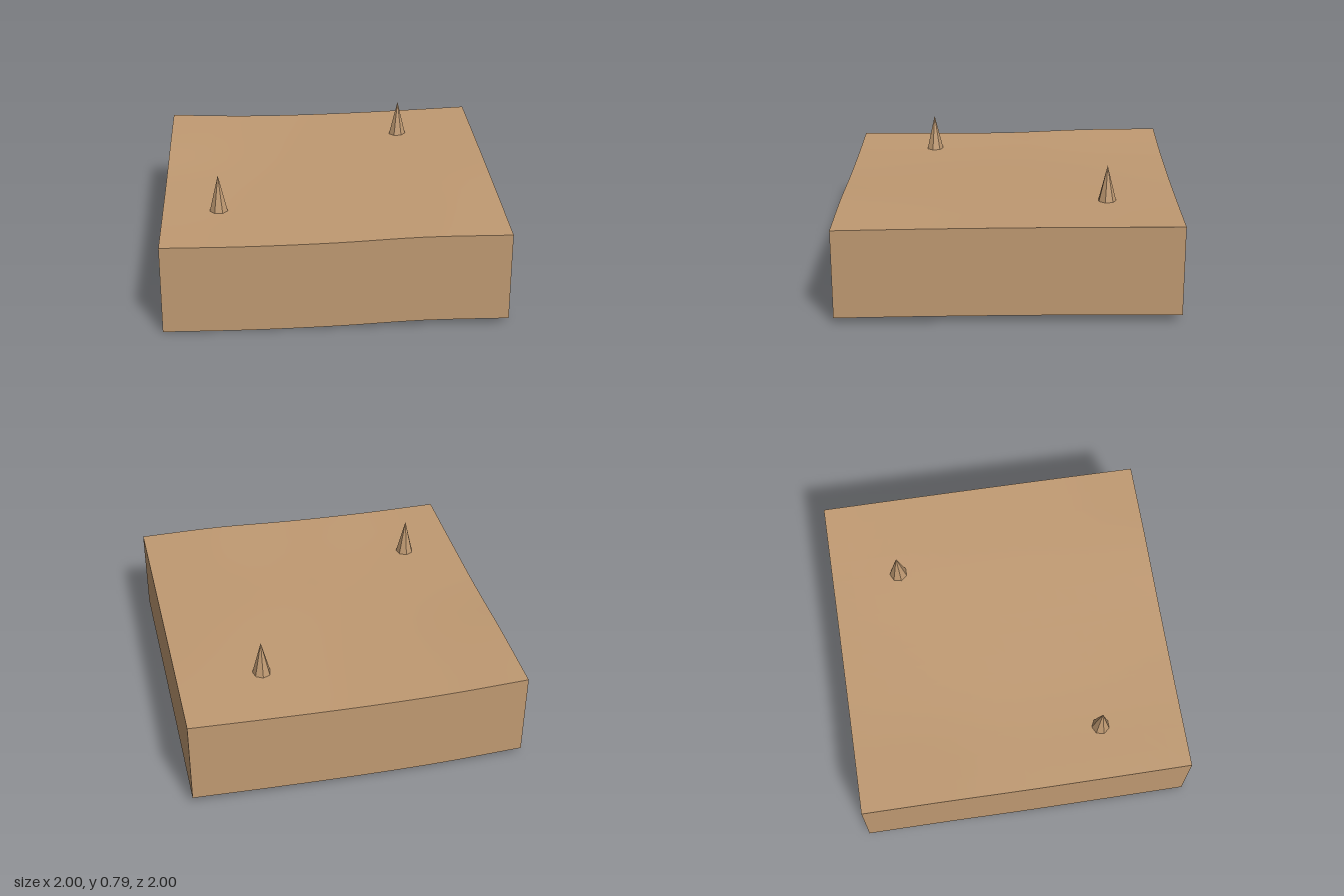
import * as THREE from 'three';

const SEGMENTS = 16;
const DEPTH = 0.535;

// Ground heights on a 5 x 5 lattice: rows run back to front, columns run -x to +x
const HEIGHTS = [
  [0.573, 0.556, 0.558, 0.572, 0.592],
  [0.565, 0.547, 0.555, 0.573, 0.590],
  [0.543, 0.537, 0.552, 0.572, 0.585],
  [0.538, 0.534, 0.548, 0.568, 0.577],
  [0.538, 0.535, 0.545, 0.567, 0.566],
];

// Smooth curve through five evenly spaced values, for t from -1 to 1
function spline(values, t) {
  const s = THREE.MathUtils.clamp((t + 1) * 2, 0, 4);
  const i = Math.min(3, Math.floor(s));
  const f = s - i;
  const b = values[i], c = values[i + 1];
  const a = i > 0 ? values[i - 1] : 2 * b - c;
  const d = i < 3 ? values[i + 2] : 2 * c - b;
  return b + 0.5 * f * (c - a + f * (2 * a - 5 * b + 4 * c - d + f * (3 * (b - c) + d - a)));
}

const groundHeight = (x, z) => spline(HEIGHTS.map((row) => spline(row, x)), z);

// Lifts every vertex to the ground; vertices below zero go to the skirt's lower rim
function drape(geometry) {
  const p = geometry.attributes.position;
  for (let i = 0; i < p.count; i++) {
    const drop = p.getY(i) < -0.1 ? DEPTH : 0;
    p.setY(i, groundHeight(p.getX(i), p.getZ(i)) - drop);
  }
  geometry.computeVertexNormals();
  return geometry;
}

export function createModel() {
  const model = new THREE.Group();
  model.name = 'terrainTile';
  const sand = new THREE.MeshStandardMaterial({ name: 'sand', color: 0xc09a72, side: THREE.DoubleSide });
  const sandFaceted = sand.clone();
  sandFaceted.flatShading = true;

  const add = (name, geometry, material) => {
    const mesh = new THREE.Mesh(geometry, material);
    mesh.name = name;
    model.add(mesh);
    return mesh;
  };

  // Gently rolling top
  add('ground', drape(new THREE.PlaneGeometry(2, 2, SEGMENTS, SEGMENTS).rotateX(-Math.PI / 2)), sand);

  // Four skirt walls, open underneath
  ['frontWall', 'leftWall', 'backWall', 'rightWall'].forEach((name, i) => {
    const wall = new THREE.PlaneGeometry(2, 1, SEGMENTS, 1)
      .translate(0, 0, 1)
      .rotateY((i * Math.PI) / 2);
    add(name, drape(wall), sand);
  });

  // Seven-sided spikes
  const spike = (name, x, z, tip) => {
    const base = groundHeight(x, z) - 0.002;
    const height = tip - base;
    const mesh = add(name, new THREE.ConeGeometry(0.055, height, 7), sandFaceted);
    mesh.position.set(x, base + height / 2, z);
    mesh.rotation.y = Math.PI;
  };
  spike('frontSpike', -0.67, 0.5, 0.757);
  spike('backSpike', 0.5, -0.585, 0.79);

  return model;
}
